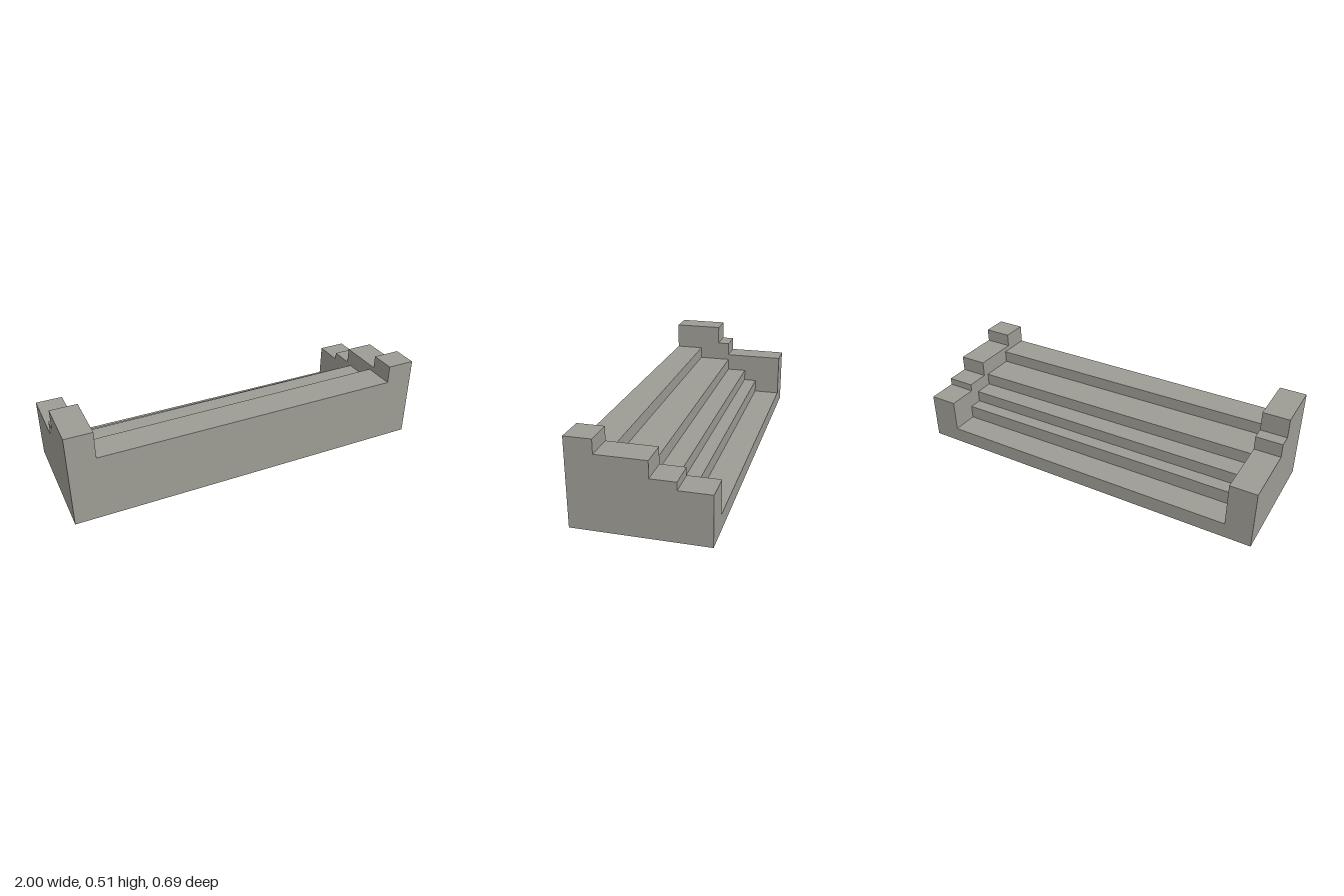
import * as THREE from 'three';

const stone = new THREE.MeshStandardMaterial({ color: 0x9e9c94, side: THREE.DoubleSide });
stone.name = 'stone grey';

const BACK = -0.345, FRONT = 0.347;
const LEFT_IN = 0.845, RIGHT_IN = -0.855; // inner faces of the two end walls

// Stepped [z, y] outline from back to front: one level per height, rising at each z in breaks
function steps(heights, breaks) {
  const z = [BACK, ...breaks, FRONT];
  return heights.flatMap((h, i) => [[z[i], h], [z[i + 1], h]]);
}

// Flat panel from an outline of [u, y] points, facing +z (0), -z (PI), +x (PI/2) or -x (-PI/2)
function panel(name, points, angle, offset) {
  const flip = angle > 0 ? -1 : 1;
  const shape = new THREE.Shape(points.map(([u, y]) => new THREE.Vector2(u * flip, y)));
  const geometry = new THREE.ShapeGeometry(shape);
  geometry.rotateY(angle);
  geometry.translate(...offset);
  const mesh = new THREE.Mesh(geometry, stone);
  mesh.name = name;
  return mesh;
}

// Stepped surface stretched between two outlines, a at the smaller x
function steppedSurface(name, a, xa, b, xb) {
  const positions = [];
  for (let i = 0; i < a.length - 1; i++) {
    const a0 = [xa, a[i][1], a[i][0]], a1 = [xa, a[i + 1][1], a[i + 1][0]];
    const b0 = [xb, b[i][1], b[i][0]], b1 = [xb, b[i + 1][1], b[i + 1][0]];
    positions.push(...a0, ...a1, ...b0, ...b0, ...a1, ...b1);
  }
  const geometry = new THREE.BufferGeometry();
  geometry.setAttribute('position', new THREE.Float32BufferAttribute(positions, 3));
  geometry.computeVertexNormals();
  const mesh = new THREE.Mesh(geometry, stone);
  mesh.name = name;
  return mesh;
}

export function createModel() {
  const model = new THREE.Group();
  model.name = 'steppedBlock';

  // Five treads, very slightly skewed from one end to the other
  const treadHeights = [0.085, 0.16, 0.226, 0.295, 0.363];
  const treadsRight = steps(treadHeights, [-0.193, -0.118, -0.004, 0.186]);
  const treadsLeft = steps(treadHeights, [-0.198, -0.123, -0.017, 0.172]);
  model.add(steppedSurface('stairs', treadsRight, RIGHT_IN, treadsLeft, LEFT_IN));

  // End wall outlines
  const wallLeft = steps([0.262, 0.303, 0.39, 0.463], [-0.18, -0.051, 0.207]);
  const wallRight = steps([0.328, 0.405, 0.512], [-0.003, 0.067]);

  // Stepped tops of the end walls
  model.add(steppedSurface('leftWallTop', wallLeft, LEFT_IN, wallLeft, 1));
  model.add(steppedSurface('rightWallTop', wallRight, -1, wallRight, RIGHT_IN));

  // Outer and inner faces of the end walls; inner faces stop at the treads
  const ground = [[FRONT, 0], [BACK, 0]];
  model.add(panel('leftWallOuter', [...wallLeft, ...ground], Math.PI / 2, [1, 0, 0]));
  model.add(panel('rightWallOuter', [...wallRight, ...ground], -Math.PI / 2, [-1, 0, 0]));
  model.add(panel('leftWallInner', [...wallLeft, ...treadsLeft.slice().reverse()], -Math.PI / 2, [LEFT_IN, 0, 0]));
  model.add(panel('rightWallInner', [...wallRight, ...treadsRight.slice().reverse()], Math.PI / 2, [RIGHT_IN, 0, 0]));

  // Front and back faces; the underside stays open
  const face = (right, middle, left) => [
    [-1, 0], [1, 0], [1, left], [LEFT_IN, left], [LEFT_IN, middle],
    [RIGHT_IN, middle], [RIGHT_IN, right], [-1, right],
  ];
  model.add(panel('frontFace', face(0.512, 0.363, 0.463), 0, [0, 0, FRONT]));
  model.add(panel('backFace', face(0.328, 0.085, 0.262), Math.PI, [0, 0, BACK]));

  return model;
}
